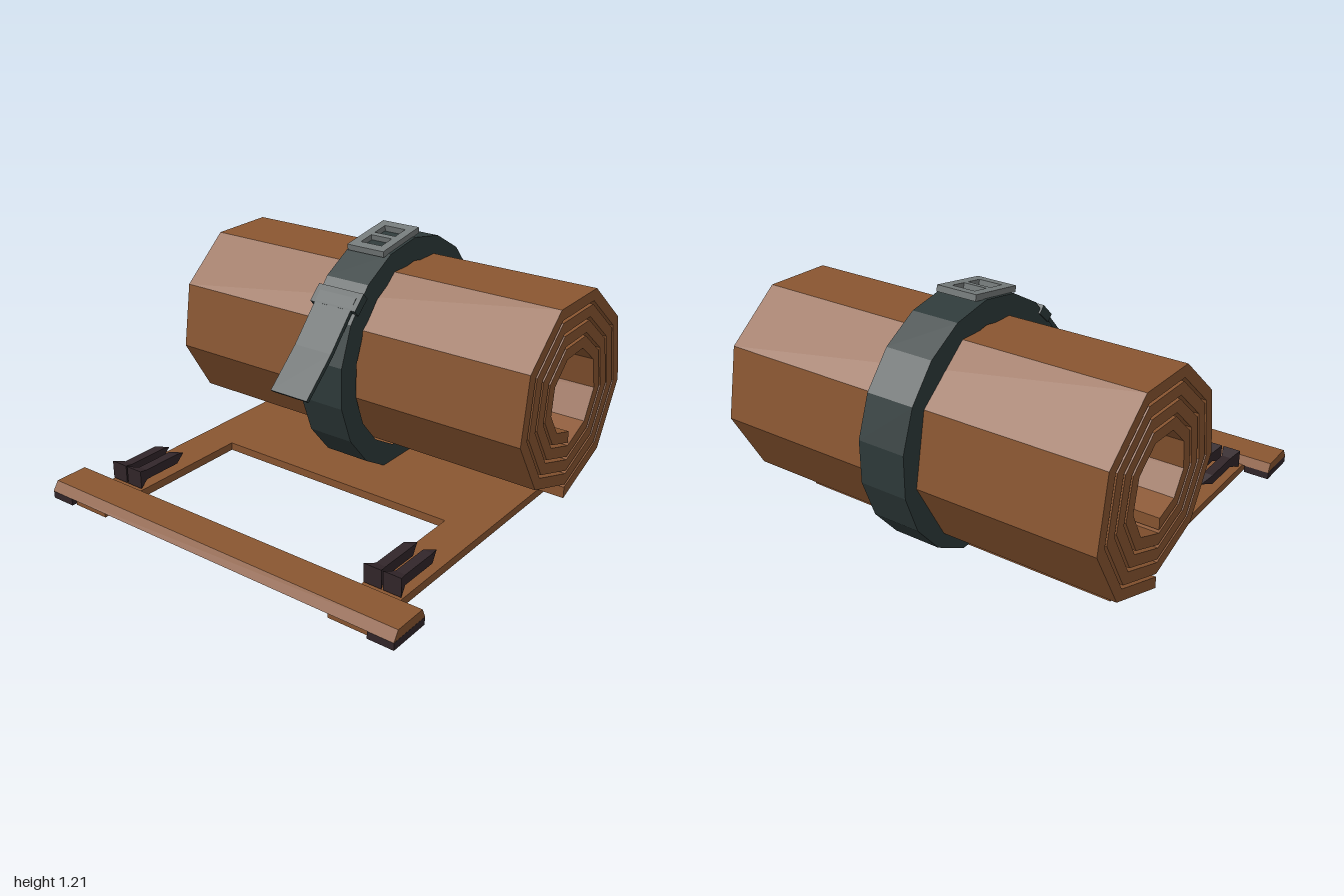
import * as THREE from 'three';

const mat = (name, color) => {
  const m = new THREE.MeshStandardMaterial({ color, flatShading: true });
  m.name = name;
  return m;
};

export function createModel() {
  const model = new THREE.Group();
  model.name = 'rolledMat';
  const brown = mat('brown hide', 0x8a5631);
  const strapGreen = mat('dark strap', 0x2f3b3b);
  const metal = mat('grey metal', 0x767c7c);
  const dark = mat('dark peg', 0x32262a);

  const CZ = -0.41, CY = 0.58; // axis of the roll

  function add(name, geometry, material, parent = model) {
    const mesh = new THREE.Mesh(geometry, material);
    mesh.name = name;
    parent.add(mesh);
    return mesh;
  }
  const toShape = pts => new THREE.Shape(pts.map(p => new THREE.Vector2(p[0], p[1])));
  const toPath = pts => new THREE.Path(pts.map(p => new THREE.Vector2(p[0], p[1])));
  const rect = (x0, y0, x1, y1) => [[x0, y0], [x1, y0], [x1, y1], [x0, y1]];

  // Extrudes a (z, y) profile across the full width, centred on x = 0
  function across(shape, width) {
    const g = new THREE.ExtrudeGeometry(shape, { depth: width, bevelEnabled: false });
    g.translate(0, 0, -width / 2);
    return g.rotateY(-Math.PI / 2);
  }
  // Point at angle a from the bottom, going back and up
  const polar = (r, a) => [CZ - r * Math.sin(a), CY - r * Math.cos(a)];

  // Spiral roll: four turns of nine flat sides
  const outer = [], inner = [];
  for (let i = 0; i <= 36; i++) {
    const r = 0.535 - 0.295 * i / 36, a = i * Math.PI * 2 / 9;
    outer.push(polar(r, a));
    inner.unshift(polar(r - 0.058, a));
  }
  add('roll', across(toShape([...outer, ...inner]), 2), brown);

  // Flat base with two legs reaching forward
  const base = toShape([[-0.86, -0.55], [0.86, -0.55], [0.86, 0.98], [0.66, 0.98],
    [0.66, 0.1], [-0.66, 0.1], [-0.66, 0.98], [-0.86, 0.98]]);
  const baseGeo = new THREE.ExtrudeGeometry(base, { depth: 0.04, bevelEnabled: false });
  baseGeo.rotateX(Math.PI / 2).translate(0, 0.04, 0);
  add('base', baseGeo, brown);

  // Front bar with sloped edges
  add('frontBar', across(toShape([[0.78, 0.037], [1, 0.037], [0.97, 0.082], [0.8, 0.082]]), 2), brown);

  // Strap around the roll, flattened where it meets the base
  const ring = r => Array.from({ length: 18 }, (_, i) => {
    const [z, y] = polar(r, i * Math.PI / 9);
    return [z, Math.max(y, 0.02)];
  });
  const strapShape = toShape(ring(0.594));
  strapShape.holes.push(toPath(ring(0.478)));
  add('strap', across(strapShape, 0.24), strapGreen);

  // Loose strap end, bent once, and its keeper loop
  add('strapTail', across(toShape([[0.03, 0.975], [0.22, 0.755], [0.4, 0.59],
    [0.415, 0.603], [0.235, 0.772], [0.045, 0.988]]), 0.21), strapGreen);
  add('strapLoop', across(toShape([[-0.01, 0.975], [0.06, 0.91], [0.088, 0.94], [0.02, 1.008]]), 0.26), strapGreen);

  // Buckle frame with two openings
  const buckleShape = toShape(rect(-0.105, -0.15, 0.105, 0.15));
  buckleShape.holes.push(toPath(rect(-0.06, 0.015, 0.06, 0.1)), toPath(rect(-0.06, -0.1, 0.06, -0.015)));
  const buckleGeo = new THREE.ExtrudeGeometry(buckleShape, { depth: 0.03, bevelEnabled: false });
  buckleGeo.translate(0, 0, -0.015).rotateX(-Math.PI / 2);
  const buckle = add('buckle', buckleGeo, metal);
  buckle.position.set(0, 1.17, -0.317);
  buckle.rotation.x = THREE.MathUtils.degToRad(10);

  // Square pegs lying on the legs, points to the back
  const q = Math.SQRT2;
  const pegGeo = new THREE.LatheGeometry(
    [[0, 0], [0.046 * q, 0], [0.025 * q, 0.06], [0.025 * q, 0.265], [0, 0.335]]
      .map(p => new THREE.Vector2(...p)), 4).toNonIndexed();
  pegGeo.rotateY(Math.PI / 4).rotateX(-Math.PI / 2);
  pegGeo.computeVertexNormals();
  for (const side of [-1, 1]) {
    for (const x of [0.71, 0.81]) {
      add('peg', pegGeo, dark).position.set(side * x, 0.092, 0.74);
    }
    // Dark foot under each end of the bar
    add('foot', new THREE.BoxGeometry(0.13, 0.036, 0.216), dark).position.set(side * 0.935, 0.018, 0.89);
  }
  return model;
}
